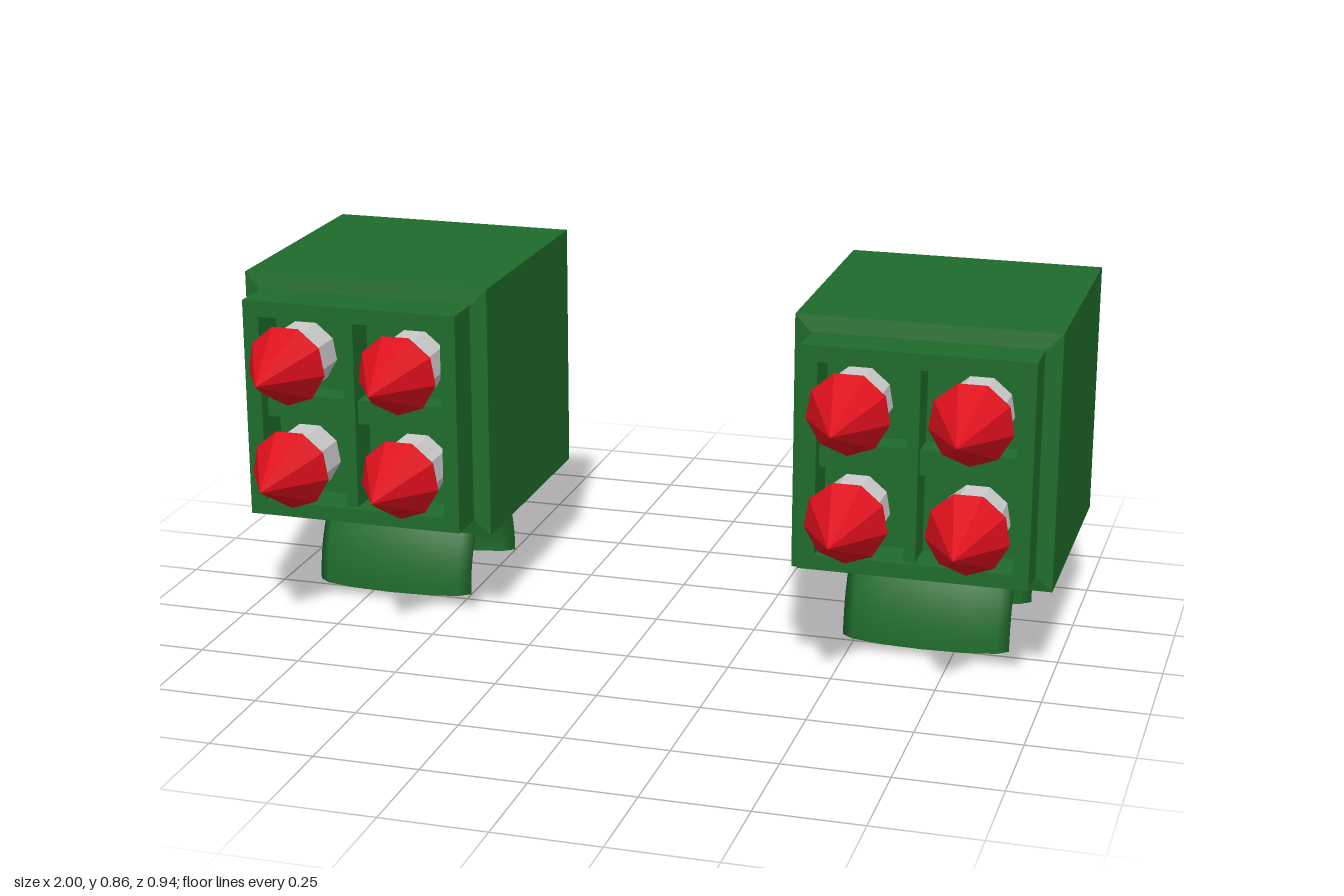
import * as THREE from 'three';

const paint = (color, flatShading = true) => new THREE.MeshStandardMaterial({ color, flatShading });
const green = paint(0x1f6b2b);
const smoothGreen = paint(0x1f6b2b, false);
const red = paint(0xdc0f1c);
const grey = paint(0xcccccc);

function add(parent, name, geometry, material, x = 0, y = 0, z = 0) {
  const mesh = new THREE.Mesh(geometry, material);
  mesh.name = name;
  mesh.position.set(x, y, z);
  parent.add(mesh);
  return mesh;
}

const rect = (Type, x0, y0, x1, y1) => new Type([
  new THREE.Vector2(x0, y0), new THREE.Vector2(x1, y0),
  new THREE.Vector2(x1, y1), new THREE.Vector2(x0, y1),
]);

// Rocket: grey shaft and faceted red nose, pointing to +z
function createRocket(x, y) {
  const rocket = new THREE.Group();
  rocket.name = 'rocket';
  rocket.position.set(x, y, 0);
  const shaft = new THREE.CylinderGeometry(0.08, 0.08, 0.14, 9).rotateX(Math.PI / 2);
  add(rocket, 'rocketShaft', shaft, grey, 0, 0, 0.22);
  const nose = new THREE.ConeGeometry(0.1, 0.184, 9).rotateX(Math.PI / 2);
  add(rocket, 'rocketNose', nose, red, 0, 0, 0.379);
  return rocket;
}

// Half-ring mount with an oval section, closed at both feet
function createMount() {
  const mount = new THREE.Group();
  mount.name = 'mount';
  const ring = 0.172, tube = 0.043;
  add(mount, 'mountArch', new THREE.TorusGeometry(ring, tube, 12, 24, Math.PI), smoothGreen);
  for (const side of [-1, 1]) {
    const cap = new THREE.CircleGeometry(tube, 12).rotateX(Math.PI / 2);
    add(mount, 'mountFoot', cap, green, side * ring, 0, 0);
  }
  mount.rotation.y = Math.PI / 2;
  mount.scale.set(1, 1.32, 0.205 / tube);
  mount.position.set(-0.017, 0, -0.205);
  return mount;
}

function createPod(x) {
  const pod = new THREE.Group();
  pod.name = 'launcherPod';
  pod.position.x = x;
  const midY = 0.547;

  // Housing with a shallow bevel at the front
  add(pod, 'housing', new THREE.BoxGeometry(0.622, 0.622, 0.623), green, 0, midY, -0.1585);
  const bevel = new THREE.CylinderGeometry(0.272 * Math.SQRT2, 0.311 * Math.SQRT2, 0.008, 4, 1)
    .rotateY(Math.PI / 4).rotateX(Math.PI / 2);
  add(pod, 'housingBevel', bevel, green, 0, midY, 0.157);

  // Front collar around the launch opening
  const outline = rect(THREE.Shape, -0.271, -0.271, 0.271, 0.271);
  outline.holes.push(rect(THREE.Path, -0.231, -0.235, 0.233, 0.232));
  const collar = new THREE.ExtrudeGeometry(outline, { depth: 0.107, bevelEnabled: false });
  add(pod, 'collar', collar, green, 0, midY, 0.158);

  // Recessed dividers between the four cells
  add(pod, 'verticalDivider', new THREE.BoxGeometry(0.028, 0.467, 0.09), green, -0.009, 0.545, 0.205);
  add(pod, 'horizontalDivider', new THREE.BoxGeometry(0.464, 0.06, 0.07), green, 0, 0.549, 0.195);

  for (const rx of [-0.153, 0.13]) {
    for (const ry of [0.407, 0.669]) pod.add(createRocket(rx, ry));
  }
  pod.add(createMount());
  return pod;
}

export function createModel() {
  const model = new THREE.Group();
  model.name = 'rocketLaunchers';
  for (const x of [-0.689, 0.689]) model.add(createPod(x));
  return model;
}
